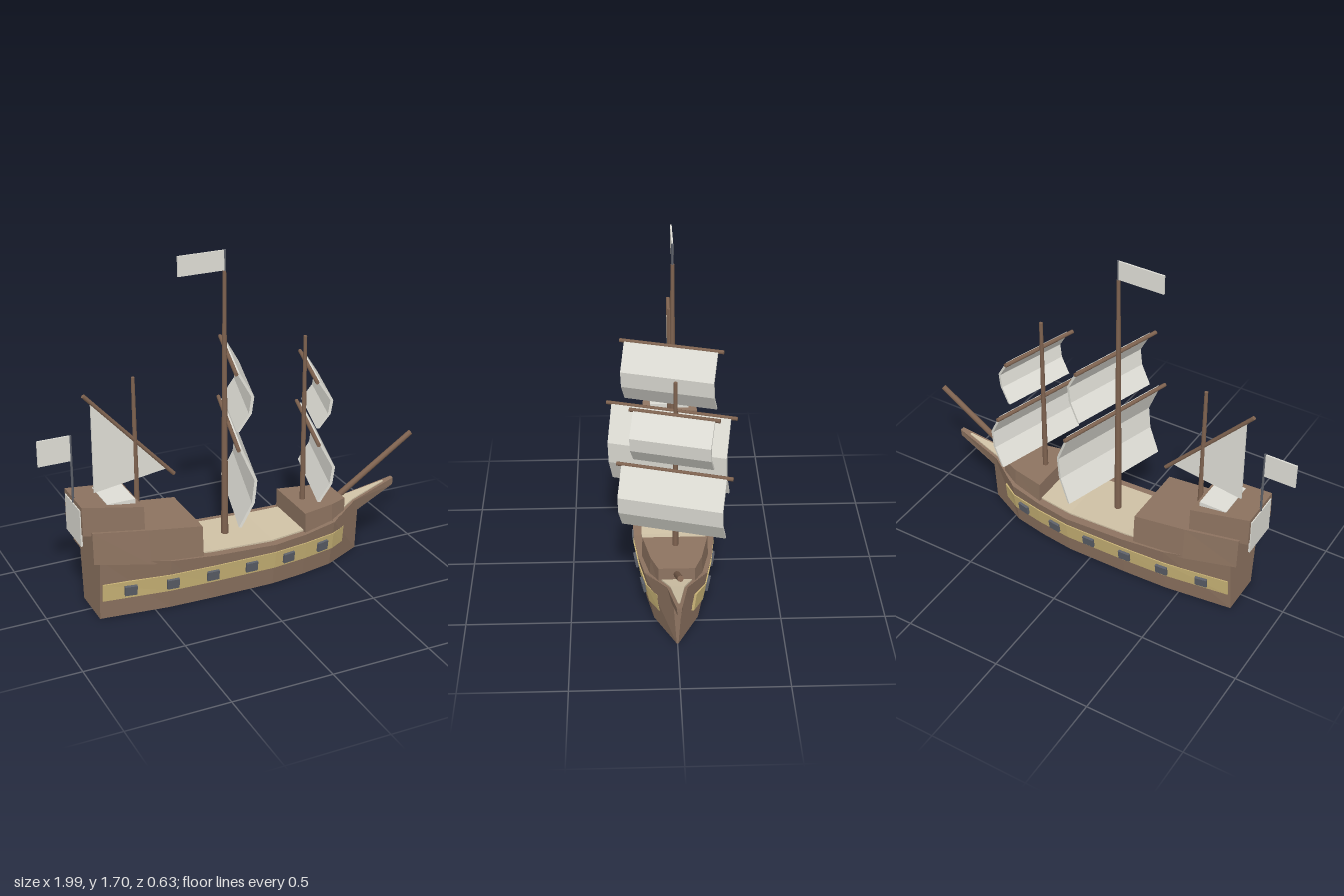
import * as THREE from 'three';

const mat = (name, color) => {
  const m = new THREE.MeshStandardMaterial({ color });
  m.name = name;
  return m;
};

export function createModel() {
  const ship = new THREE.Group();
  ship.name = 'sailingShip';
  const wood = mat('hullBrown', 0x8e7461);
  const spar = mat('sparBrown', 0x7f6350);
  const plank = mat('deckTan', 0xd0c2a6);
  const gold = mat('bandGold', 0xcbb577);
  const cloth = mat('sailWhite', 0xdfded6);
  const slate = mat('portSlate', 0x5c6069);

  const add = (name, geo, material, parent = ship) => {
    const mesh = new THREE.Mesh(geo, material);
    mesh.name = name;
    parent.add(mesh);
    return mesh;
  };

  // Faceted loft along x; each section is [x, yBottom, yTop, halfBottom, halfTop]
  const loft = (sections) => {
    const rings = sections.map(([x, y0, y1, b, t]) =>
      [[x, y0, b], [x, y0, -b], [x, y1, -t], [x, y1, t]]);
    const pos = [];
    const quad = (a, b, c, d) => pos.push(...a, ...b, ...c, ...a, ...c, ...d);
    for (let i = 0; i + 1 < rings.length; i++) {
      for (let k = 0; k < 4; k++) {
        const n = (k + 1) % 4;
        quad(rings[i][k], rings[i][n], rings[i + 1][n], rings[i + 1][k]);
      }
    }
    const [a, b, c, d] = rings[0];
    quad(d, c, b, a);
    quad(...rings[rings.length - 1]);
    const geo = new THREE.BufferGeometry();
    geo.setAttribute('position', new THREE.Float32BufferAttribute(pos, 3));
    geo.computeVertexNormals();
    return geo;
  };

  // Tapered rod between two points
  const rod = (name, from, to, r0, r1, material = spar, parent = ship) => {
    const a = new THREE.Vector3(...from), b = new THREE.Vector3(...to);
    const dir = b.clone().sub(a);
    const mesh = add(name, new THREE.CylinderGeometry(r1, r0, dir.length(), 8), material, parent);
    mesh.position.copy(a).add(b).multiplyScalar(0.5);
    mesh.quaternion.setFromUnitVectors(new THREE.Vector3(0, 1, 0), dir.normalize());
    return mesh;
  };

  const box = (name, x0, x1, y0, y1, depth, material) => {
    const mesh = add(name, new THREE.BoxGeometry(x1 - x0, y1 - y0, depth), material);
    mesh.position.set((x0 + x1) / 2, (y0 + y1) / 2, 0);
    return mesh;
  };

  // Hull
  const hull = [
    [-0.77, 0, 0.33, 0.11, 0.142],
    [-0.43, 0, 0.27, 0.15, 0.188],
    [-0.2, 0, 0.25, 0.158, 0.196],
    [0.12, 0, 0.235, 0.16, 0.198],
    [0.3, 0, 0.242, 0.138, 0.178],
    [0.47, 0, 0.257, 0.105, 0.148],
    [0.675, 0, 0.3, 0.004, 0.025],
  ];
  add('hull', loft(hull), wood);

  // Half width of the hull at a given length and height
  const halfAt = (x, y) => {
    let i = 0;
    while (i < hull.length - 2 && x > hull[i + 1][0]) i++;
    const p = hull[i], q = hull[i + 1], f = (x - p[0]) / (q[0] - p[0]);
    const width = (s) => s[3] + (s[4] - s[3]) * y / s[2];
    return width(p) * (1 - f) + width(q) * f;
  };

  // Beak and decks
  add('beak', loft([
    [0.47, 0.2, 0.258, 0.13, 0.147],
    [0.64, 0.215, 0.295, 0.03, 0.047],
    [0.885, 0.32, 0.36, 0.008, 0.012],
  ]), wood);
  add('mainDeck', loft([
    [-0.5, 0.24, 0.283, 0.15, 0.15],
    [-0.2, 0.22, 0.257, 0.157, 0.157],
    [0.12, 0.2, 0.243, 0.157, 0.157],
    [0.3, 0.21, 0.25, 0.14, 0.14],
    [0.47, 0.22, 0.265, 0.115, 0.115],
    [0.64, 0.25, 0.302, 0.033, 0.033],
    [0.83, 0.32, 0.35, 0.005, 0.005],
  ]), plank);
  add('quarterDeck', loft([
    [-0.8, 0.315, 0.475, 0.142, 0.135],
    [-0.53, 0.27, 0.445, 0.176, 0.164],
    [-0.26, 0.23, 0.41, 0.184, 0.172],
  ]), wood);
  add('poopDeck', loft([
    [-0.84, 0.462, 0.607, 0.12, 0.115],
    [-0.545, 0.43, 0.562, 0.15, 0.145],
  ]), wood);
  add('forecastle', loft([
    [0.3, 0.22, 0.345, 0.16, 0.155],
    [0.47, 0.23, 0.345, 0.125, 0.12],
    [0.56, 0.24, 0.345, 0.085, 0.085],
  ]), wood);
  box('poopHatch', -0.71, -0.57, 0.5, 0.59, 0.2, cloth);
  box('sternPanel', -0.845, -0.836, 0.4, 0.585, 0.2, cloth);

  // Painted band following the hull
  const bandXs = [-0.758, -0.43, -0.2, 0.12, 0.3, 0.47, 0.555];
  add('band', loft(bandXs.map((x) =>
    [x, 0.1, 0.192, halfAt(x, 0.1) + 0.006, halfAt(x, 0.192) + 0.006])), gold);

  // Gun ports on both sides
  for (let i = 0; i < 6; i++) {
    const x = -0.625 + i * 0.205, y = 0.145;
    const slope = (halfAt(x + 0.03, y) - halfAt(x - 0.03, y)) / 0.06;
    for (const side of [1, -1]) {
      const port = add(side > 0 ? 'leftGunPort' : 'rightGunPort', new THREE.BoxGeometry(0.06, 0.05, 0.03), slate);
      port.position.set(x, y, side * (halfAt(x, y) + 0.004));
      port.rotation.set(side * 0.16, -side * Math.atan(slope), 0);
    }
  }

  // Masts and bowsprit
  rod('mainMast', [-0.065, 0.23, 0], [-0.062, 1.6, 0], 0.019, 0.009);
  rod('foreMast', [0.365, 0.33, 0], [0.365, 1.215, 0], 0.014, 0.009);
  rod('mizzenMast', [-0.522, 0.43, 0], [-0.526, 1.155, 0], 0.014, 0.009);
  rod('bowsprit', [0.56, 0.312, 0], [0.985, 0.592, 0], 0.016, 0.014);

  // Square sails: a bent strip extruded along its yard
  const squareSail = (name, mastX, yardY, bottomY, yardHalf, sailHalf, belly) => {
    const g = new THREE.Group();
    g.name = name;
    g.position.x = mastX;
    g.rotation.y = -0.29;
    ship.add(g);
    rod('yard', [0.018, yardY, -yardHalf], [0.018, yardY, yardHalf], 0.01, 0.01, spar, g);
    const drop = yardY - bottomY;
    const edge = [[0.022, yardY], [0.022 + belly, yardY - drop * 0.42],
      [0.022 + belly * 0.84, yardY - drop * 0.7], [0.024, bottomY]];
    const outline = [...edge, ...edge.map(([x, y]) => [x + 0.014, y]).reverse()];
    const shape = new THREE.Shape(outline.map(([x, y]) => new THREE.Vector2(x, y)));
    const geo = new THREE.ExtrudeGeometry(shape, { depth: sailHalf * 2, bevelEnabled: false });
    add('sail', geo.translate(0, 0, -sailHalf), cloth, g);
  };
  squareSail('mainCourse', -0.065, 0.842, 0.43, 0.326, 0.297, 0.075);
  squareSail('mainTopsail', -0.065, 1.188, 0.89, 0.254, 0.228, 0.07);
  squareSail('foreCourse', 0.365, 0.762, 0.447, 0.277, 0.25, 0.07);
  squareSail('foreTopsail', 0.365, 1.057, 0.81, 0.212, 0.19, 0.066);

  // Slanted sail on the mizzen mast
  rod('lateenYard', [-0.77, 1.105, 0], [-0.33, 0.628, 0], 0.01, 0.01);
  const lateen = new THREE.Shape([[-0.737, 1.065], [-0.737, 0.612], [-0.365, 0.665]]
    .map(([x, y]) => new THREE.Vector2(x, y)));
  add('lateenSail', new THREE.ExtrudeGeometry(lateen, { depth: 0.008, bevelEnabled: false })
    .translate(0, 0, -0.004), cloth);

  // Flags and poles
  rod('mainFlagPole', [-0.06, 1.56, 0], [-0.06, 1.7, 0], 0.006, 0.006, slate);
  box('mainFlag', -0.296, -0.06, 1.602, 1.699, 0.008, cloth);
  rod('sternFlagPole', [-0.839, 0.58, 0], [-0.839, 0.925, 0], 0.006, 0.006, slate);
  box('sternFlag', -1, -0.839, 0.797, 0.924, 0.008, cloth);

  return ship;
}
